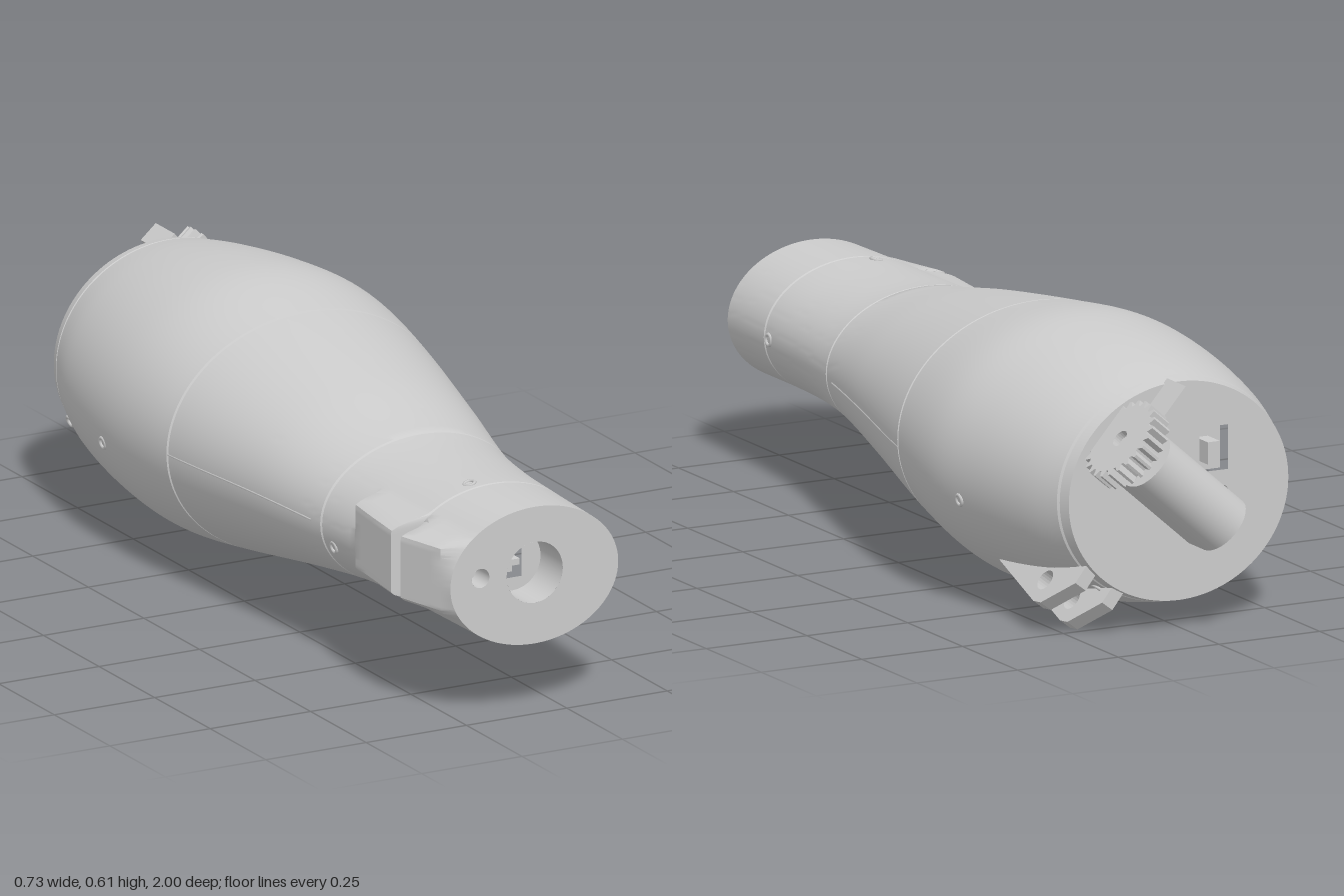
import * as THREE from 'three';
import { toCreasedNormals } from 'three/addons/utils/BufferGeometryUtils.js';

const grey = new THREE.MeshStandardMaterial({ color: 0xcccccc });
const thin = new THREE.MeshStandardMaterial({ color: 0xcccccc, side: THREE.DoubleSide });

// forearm stations: z, xMin, xMax, yMin, yMax
const stations = [
  [-0.83, -0.265, 0.28, 0.06, 0.55], [-0.7, -0.31, 0.32, 0.03, 0.577],
  [-0.52, -0.347, 0.35, 0.008, 0.602], [-0.35, -0.364, 0.361, 0.003, 0.61],
  [-0.14, -0.364, 0.328, 0.036, 0.583], [0.2, -0.338, 0.243, 0.1, 0.53],
  [0.46, -0.313, 0.178, 0.142, 0.482], [0.63, -0.308, 0.153, 0.157, 0.471],
  [0.8, -0.303, 0.14, 0.16, 0.47], [1, -0.29, 0.128, 0.157, 0.47],
];
const seams = [-0.8, -0.14, 0.46, 0.812];
// outline of the side bump and its notch: z, x
const bump = [[0.6, -0.31], [0.808, -0.332], [0.812, -0.25], [0.82, -0.25], [0.852, -0.332], [1, -0.29]];
const SIDES = 120;

const smooth = THREE.MathUtils.smoothstep;

function sizeAt(z) {
  let i = 0;
  while (i < stations.length - 2 && z > stations[i + 1][0]) i++;
  const at = (k) => stations[Math.max(0, Math.min(stations.length - 1, k))];
  const a = at(i), b = at(i + 1), p = at(i - 1), n = at(i + 2);
  const h = b[0] - a[0], t = (z - a[0]) / h;
  return [1, 2, 3, 4].map((c) => {
    const m0 = (b[c] - p[c]) / (b[0] - p[0]) * h, m1 = (n[c] - a[c]) / (n[0] - a[0]) * h;
    return (2 * t ** 3 - 3 * t * t + 1) * a[c] + (t ** 3 - 2 * t * t + t) * m0
      + (3 * t * t - 2 * t ** 3) * b[c] + (t ** 3 - t * t) * m1;
  });
}

function bumpAt(z) {
  const k = bump.findIndex((b, i) => i > 0 && z <= b[0] + 1e-6);
  const a = bump[k - 1], b = bump[k];
  return a[1] + (b[1] - a[1]) * (z - a[0]) / (b[0] - a[0]);
}

function pointAt(z, angle, scale = 1) {
  const [x0, x1, y0, y1] = sizeAt(z);
  let x = (x0 + x1) / 2 + (x1 - x0) / 2 * Math.cos(angle) * scale;
  const y = (y0 + y1) / 2 + (y1 - y0) / 2 * Math.sin(angle) * scale;
  if (z > 0.6 && z < 0.999 && Math.cos(angle) < 0) {
    const w = 1 - smooth(Math.abs(y - 0.328), 0.068, 0.1);
    x += (bumpAt(z) - x) * w;
  }
  return new THREE.Vector3(x, y, z);
}

function shellGeometry() {
  const levels = [];
  for (let i = 0; i <= 61; i++) levels.push(-0.83 + 0.03 * i);
  levels.push(...bump.map((b) => b[0]));
  for (const s of seams) levels.push(s - 0.004, s, s + 0.004);
  const zs = levels.filter((z) => z <= 1 + 1e-6).concat([1]).sort((a, b) => a - b)
    .filter((z, i, l) => i === 0 || z - l[i - 1] > 1e-4);
  const pos = [], index = [];
  zs.forEach((z, j) => {
    const groove = seams.some((s) => Math.abs(z - s) < 0.001) ? 0.982 : 1;
    for (let i = 0; i < SIDES; i++) {
      pos.push(...pointAt(z, i / SIDES * Math.PI * 2, groove).toArray());
      if (j === zs.length - 1) continue;
      const a = j * SIDES + i, b = j * SIDES + (i + 1) % SIDES;
      index.push(a, b, a + SIDES, b, b + SIDES, a + SIDES);
    }
  });
  const g = new THREE.BufferGeometry();
  g.setAttribute('position', new THREE.Float32BufferAttribute(pos, 3));
  g.setIndex(index);
  return toCreasedNormals(g, 0.6);
}

const circle = (x, y, r) => new THREE.Path().absarc(x, y, r, 0, Math.PI * 2, true);
const rect = (x0, y0, x1, y1) => new THREE.Path([[x0, y0], [x0, y1], [x1, y1], [x1, y0]].map((p) => new THREE.Vector2(...p)));

export function createModel() {
  const model = new THREE.Group();
  const add = (name, geometry, parent = model, material = grey) => {
    const mesh = new THREE.Mesh(geometry, material);
    mesh.name = name;
    parent.add(mesh);
    return mesh;
  };
  const box = (name, w, h, d, x, y, z, parent) =>
    add(name, new THREE.BoxGeometry(w, h, d), parent).position.set(x, y, z);
  const cap = (name, z, holes) => {
    const pts = [];
    for (let i = 0; i < SIDES; i++) {
      const p = pointAt(z, i / SIDES * Math.PI * 2);
      pts.push(new THREE.Vector2(p.x, p.y));
    }
    const s = new THREE.Shape(pts);
    s.holes.push(...holes);
    add(name, new THREE.ShapeGeometry(s, 24), model, thin).position.z = z;
  };
  // blind round hole running along z from z0 to z1
  const well = (name, x, y, r, z0, z1) => {
    const g = new THREE.CylinderGeometry(r, r, Math.abs(z1 - z0), 32, 1, true).rotateX(Math.PI / 2);
    add(name + 'Wall', g, model, thin).position.set(x, y, (z0 + z1) / 2);
    const s = new THREE.Shape().absarc(x, y, r, 0, Math.PI * 2);
    if (r > 0.05) s.holes.push(rect(-0.1, 0.28, -0.057, 0.37));
    add(name + 'Floor', new THREE.ShapeGeometry(s, 32), model, thin).position.z = z1;
  };

  // forearm shell with closed ends
  add('forearmShell', shellGeometry());
  cap('wristFace', 1, [circle(-0.08, 0.32, 0.07), circle(-0.215, 0.327, 0.022)]);
  well('wristSocket', -0.08, 0.32, 0.07, 1, 0.9);
  well('wristPinHole', -0.215, 0.327, 0.022, 1, 0.94);
  box('wristSlotBack', 0.05, 0.1, 0.02, -0.078, 0.325, 0.84);
  box('wristSlotBar', 0.043, 0.014, 0.04, -0.078, 0.31, 0.87);
  cap('elbowPlate', -0.83, [rect(-0.115, 0.34, -0.045, 0.44), circle(-0.1, 0.29, 0.016)]);
  well('elbowPinHole', -0.1, 0.29, 0.016, -0.83, -0.78);
  box('elbowSlotBack', 0.09, 0.12, 0.01, -0.08, 0.39, -0.77);
  box('elbowSlotPost', 0.03, 0.05, 0.06, -0.08, 0.38, -0.8);

  // lengthwise seams on both sides
  for (const side of [0, Math.PI]) {
    const pts = [];
    for (let i = 0; i <= 8; i++) pts.push(pointAt(-0.14 + i * 0.07, side ? Math.PI : -0.06, 0.995));
    add('sideSeam', new THREE.TubeGeometry(new THREE.CatmullRomCurve3(pts), 24, 0.003, 6));
  }

  // screw seats: z, angle around the shell
  for (const [z, angle] of [[0.78, 1.75], [0.79, 0], [-0.46, -0.2], [-0.46, 3.35], [-0.77, -0.95], [-0.77, 3.6], [0.5, 3.4]]) {
    const p = pointAt(z, angle), q = pointAt(z, angle, 1.1);
    const ring = add('screwSeat', new THREE.TorusGeometry(0.012, 0.004, 6, 20));
    ring.position.copy(p);
    ring.lookAt(q);
  }

  // motor, gear and arm, tilted together on the elbow plate
  const drive = new THREE.Group();
  drive.name = 'drive';
  drive.position.set(0.17, 0.44, -0.9);
  drive.rotation.z = 0.72;
  model.add(drive);
  add('motor', new THREE.CylinderGeometry(0.068, 0.068, 0.25, 40).rotateZ(Math.PI / 2), drive).position.x = -0.185;
  box('motorCradle', 0.25, 0.136, 0.075, -0.185, 0, 0.0375, drive);
  box('bearingArm', 0.05, 0.23, 0.085, -0.05, 0.065, 0.034, drive);
  add('shaft', new THREE.CylinderGeometry(0.02, 0.02, 0.08, 20).rotateZ(Math.PI / 2), drive).position.x = -0.03;

  const teeth = 24, outline = [];
  for (let i = 0; i < teeth * 4; i++) {
    const r = i % 4 < 2 ? 0.1 : 0.086, a = i / (teeth * 4) * Math.PI * 2;
    outline.push(new THREE.Vector2(Math.cos(a) * r, Math.sin(a) * r));
  }
  const gearShape = new THREE.Shape(outline);
  gearShape.holes.push(circle(0, 0, 0.02));
  const gear = new THREE.ExtrudeGeometry(gearShape, { depth: 0.05, bevelEnabled: false });
  add('gear', gear.rotateY(Math.PI / 2), drive).position.x = -0.022;

  // hinge lugs under the elbow: profile across z (negated) and outward
  const hinge = new THREE.Group();
  hinge.name = 'hinge';
  hinge.position.set(0.2, 0.105, 0);
  hinge.rotation.z = 0.66;
  model.add(hinge);
  const lugShape = new THREE.Shape([[0.47, 0.04], [0.47, -0.025], [0.5, -0.04], [0.71, -0.093], [0.74, -0.09], [0.82, -0.02], [0.82, 0.04]]
    .map((p) => new THREE.Vector2(...p)));
  lugShape.holes.push(circle(0.705, -0.04, 0.024));
  for (const side of [-1, 1]) {
    const lug = new THREE.ExtrudeGeometry(lugShape, { depth: 0.032, bevelEnabled: false });
    add('hingeLug', lug.translate(0, 0, -0.016).rotateY(Math.PI / 2), hinge).position.x = side * 0.042;
  }
  box('hingeBridge', 0.06, 0.03, 0.03, 0, -0.04, -0.64, hinge);

  return model;
}
